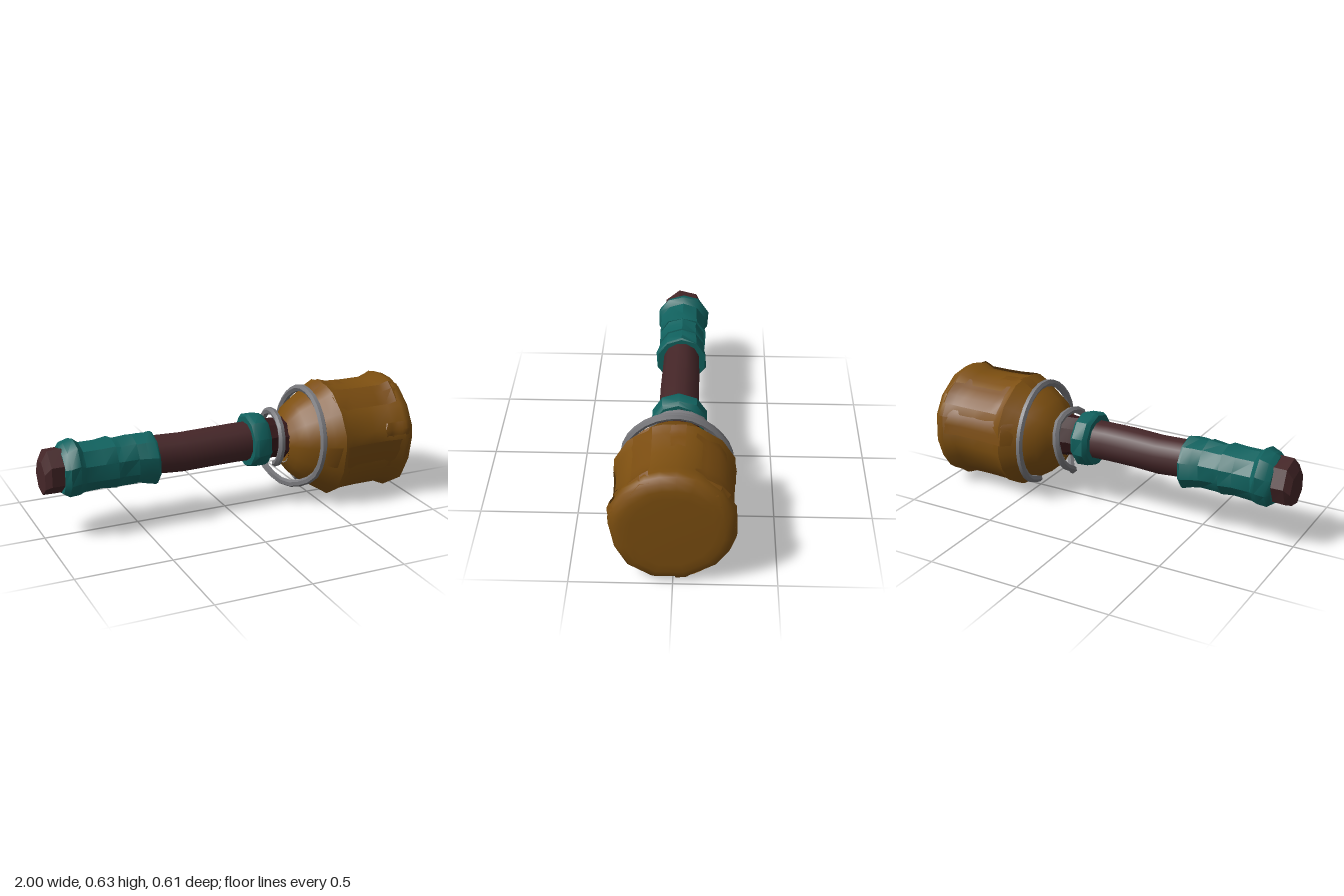
import * as THREE from 'three';
import { toCreasedNormals } from 'three/addons/utils/BufferGeometryUtils.js';

const mat = (name, color) => new THREE.MeshStandardMaterial({ name, color });

// Small seeded generator for the hand-hewn wobble
function seeded(seed) {
  let s = seed;
  return () => (s = (s * 16807) % 2147483647) / 2147483647;
}

// Grid of points -> surface; rows run along x, columns run round the axis
function surface(rows, cols, point, crease) {
  const pos = [], index = [];
  for (let i = 0; i < rows; i++) for (let j = 0; j < cols; j++) pos.push(...point(i, j));
  for (let i = 0; i < rows - 1; i++) for (let j = 0; j < cols - 1; j++) {
    const a = i * cols + j, b = a + cols;
    index.push(a, b, b + 1, a, b + 1, a + 1);
  }
  const g = new THREE.BufferGeometry();
  g.setAttribute('position', new THREE.Float32BufferAttribute(pos, 3));
  g.setIndex(index);
  return toCreasedNormals(g, crease);
}

// Rough turned piece; each row is [x, radius, centre y, centre z]
function turned(rows, sides, wobble, seed, crease = 0.6) {
  const rnd = seeded(seed);
  const jitter = rows.map(() => Array.from({ length: sides }, () => 1 + (rnd() - 0.5) * wobble));
  return surface(rows.length, sides + 1, (i, j) => {
    const [x, r, cy = 0.345, cz = -0.005] = rows[i], k = j % sides;
    const a = (k + 0.5) / sides * Math.PI * 2, R = r * jitter[i][k];
    return [x, cy + R * Math.sin(a), cz + R * Math.cos(a)];
  }, crease);
}

// Head profile as [x, radius], and its outline as [z, y] about the axis
const headProfile = [[0.33, 0.11], [0.36, 0.155], [0.4, 0.2], [0.46, 0.237], [0.52, 0.272], [0.57, 0.305],
  [0.62, 0.288], [0.75, 0.283], [0.87, 0.283], [0.93, 0.308], [0.965, 0.302], [0.988, 0.28], [0.998, 0.245], [1, 0.2], [1, 0]];
const headOutline = [[0.305, 0.02], [0.3, 0.09], [0.235, 0.2], [0.13, 0.285], [0.06, 0.305], [-0.02, 0.308],
  [-0.11, 0.295], [-0.23, 0.215], [-0.295, 0.11], [-0.302, -0.05], [-0.27, -0.14], [-0.21, -0.225],
  [-0.11, -0.285], [-0.06, -0.31], [0.1, -0.31], [0.22, -0.235], [0.28, -0.12]];

const wrap = (k) => headOutline[((k % 17) + 17) % 17];
function headPoint(x, r, u, lift) {
  const k = Math.floor(u), t = u - k, a = wrap(k), b = wrap(k + 1);
  const s = r / 0.308 + lift / 0.3;
  return [x, 0.312 + s * (a[1] + (b[1] - a[1]) * t), s * (a[0] + (b[0] - a[0]) * t)];
}
function radiusAt(x) {
  const i = Math.max(1, headProfile.findIndex((p) => p[0] >= x));
  const [x0, r0] = headProfile[i - 1], [x1, r1] = headProfile[i];
  return r0 + (r1 - r0) * (x - x0) / (x1 - x0);
}

export function createModel() {
  const model = new THREE.Group();
  const bark = mat('ochreBark', 0x7d4f10);
  const barkFlap = mat('ochreBarkFlap', 0x7a4c10);
  barkFlap.side = THREE.DoubleSide;
  const wood = mat('darkWood', 0x452628);
  const neckWood = mat('neckWood', 0x35181a);
  const cloth = mat('tealCloth', 0x11625f);
  const metal = mat('greyWire', 0x77777b);
  const add = (name, geometry, material) => {
    const m = new THREE.Mesh(geometry, material);
    m.name = name;
    model.add(m);
    return m;
  };

  // Handle shaft, faceted pommel and neck
  add('shaft', turned([[-0.92, 0.1], [-0.42, 0.1, 0.35], [-0.25, 0.104, 0.342], [-0.1, 0.104, 0.346],
    [0.05, 0.104, 0.348], [0.23, 0.105]], 12, 0.04, 11, 0.8), wood);
  add('pommel', turned([[-1, 0, 0.32], [-1, 0.09, 0.32], [-0.97, 0.118, 0.35], [-0.9, 0.118, 0.35],
    [-0.86, 0.1, 0.35]], 7, 0.07, 5, 0.3), wood);
  add('neck', turned([[0.2, 0.115, 0.34], [0.26, 0.108, 0.34], [0.31, 0.112, 0.335], [0.38, 0.115, 0.33]], 9, 0.08, 21, 0.4), neckWood);

  // Overlapping cloth wraps on the grip
  const wraps = [
    [[-0.905, 0.09], [-0.905, 0.122], [-0.88, 0.142], [-0.83, 0.15, 0.355], [-0.8, 0.132], [-0.7, 0.13], [-0.63, 0.137], [-0.63, 0.09]],
    [[-0.64, 0.09], [-0.64, 0.132], [-0.6, 0.128], [-0.52, 0.13], [-0.51, 0.09]],
    [[-0.525, 0.09], [-0.525, 0.127], [-0.47, 0.133, 0.34], [-0.42, 0.142, 0.336], [-0.408, 0.138, 0.336], [-0.408, 0.09]],
  ];
  wraps.forEach((rows, i) => add('gripWrap' + (i + 1), turned(rows, 10, 0.07, 31 + i * 7), cloth));
  add('collarWrap', turned([[0.12, 0.09], [0.12, 0.135], [0.14, 0.15, 0.345, -0.01], [0.2, 0.148, 0.345, -0.01],
    [0.222, 0.13], [0.222, 0.09]], 10, 0.06, 77), cloth);

  // Heavy bark-covered head
  add('head', surface(headProfile.length, 18,
    (i, j) => headPoint(headProfile[i][0], headProfile[i][1], j, 0), 0.75), bark);
  add('headBackFace', turned([[0.335, 0, 0.32], [0.33, 0.112, 0.312]], 17, 0, 3), bark);

  // Raised bark strips: [start, end, x from, x to, lift]
  const strips = [[1.8, 3.3, 0.56, 0.97, 0.018], [6, 7.4, 0.6, 0.98, 0.015], [7.6, 8.6, 0.5, 0.96, 0.016],
    [10.8, 12.2, 0.58, 0.97, 0.015], [12.1, 13.3, 0.84, 0.98, 0.014], [15.7, 17.1, 0.48, 0.95, 0.012],
    [4.2, 5.4, 0.5, 0.7, 0.012], [0.2, 1.3, 0.82, 0.97, 0.014]];
  strips.forEach(([u0, u1, x0, x1, lift], n) => {
    add('barkStrip' + (n + 1), surface(9, 4, (i, j) => {
      const x = x0 + (x1 - x0) * i / 8 + (i % 8 ? 0 : 0.012 * (j % 2));
      const t = j / 3, edge = i === 0 || i === 8 ? 0.3 : 1;
      return headPoint(x, radiusAt(x), u0 + (u1 - u0) * t, edge * (lift * t - 0.003));
    }, 0.6), barkFlap);
  });

  // One bent wire: a wide loop on the head running down to a small loop on the neck
  const path = [[0.47, 0.06, -0.06], [0.455, 0.12, -0.19], [0.45, 0.24, -0.265], [0.455, 0.38, -0.262],
    [0.465, 0.52, -0.17], [0.47, 0.59, -0.03], [0.47, 0.56, 0.12], [0.46, 0.44, 0.235], [0.45, 0.3, 0.258],
    [0.425, 0.16, 0.2], [0.34, 0.095, 0.07], [0.275, 0.145, -0.02], [0.27, 0.22, -0.13], [0.285, 0.34, -0.168],
    [0.3, 0.45, -0.12], [0.29, 0.48, 0], [0.28, 0.43, 0.1], [0.275, 0.33, 0.128], [0.275, 0.24, 0.09], [0.29, 0.2, 0.02]];
  const curve = new THREE.CatmullRomCurve3(path.map((p) => new THREE.Vector3(...p)), false, 'centripetal');
  add('wire', toCreasedNormals(new THREE.TubeGeometry(curve, 44, 0.02, 6), 0.6), metal);
  [0, 1].forEach((t) => {
    const cap = add('wireEnd' + (t + 1), new THREE.CircleGeometry(0.02, 6), metal);
    const p = curve.getPointAt(t), d = curve.getTangentAt(t).multiplyScalar(t ? 1 : -1);
    cap.position.copy(p);
    cap.lookAt(p.clone().add(d));
  });

  return model;
}
